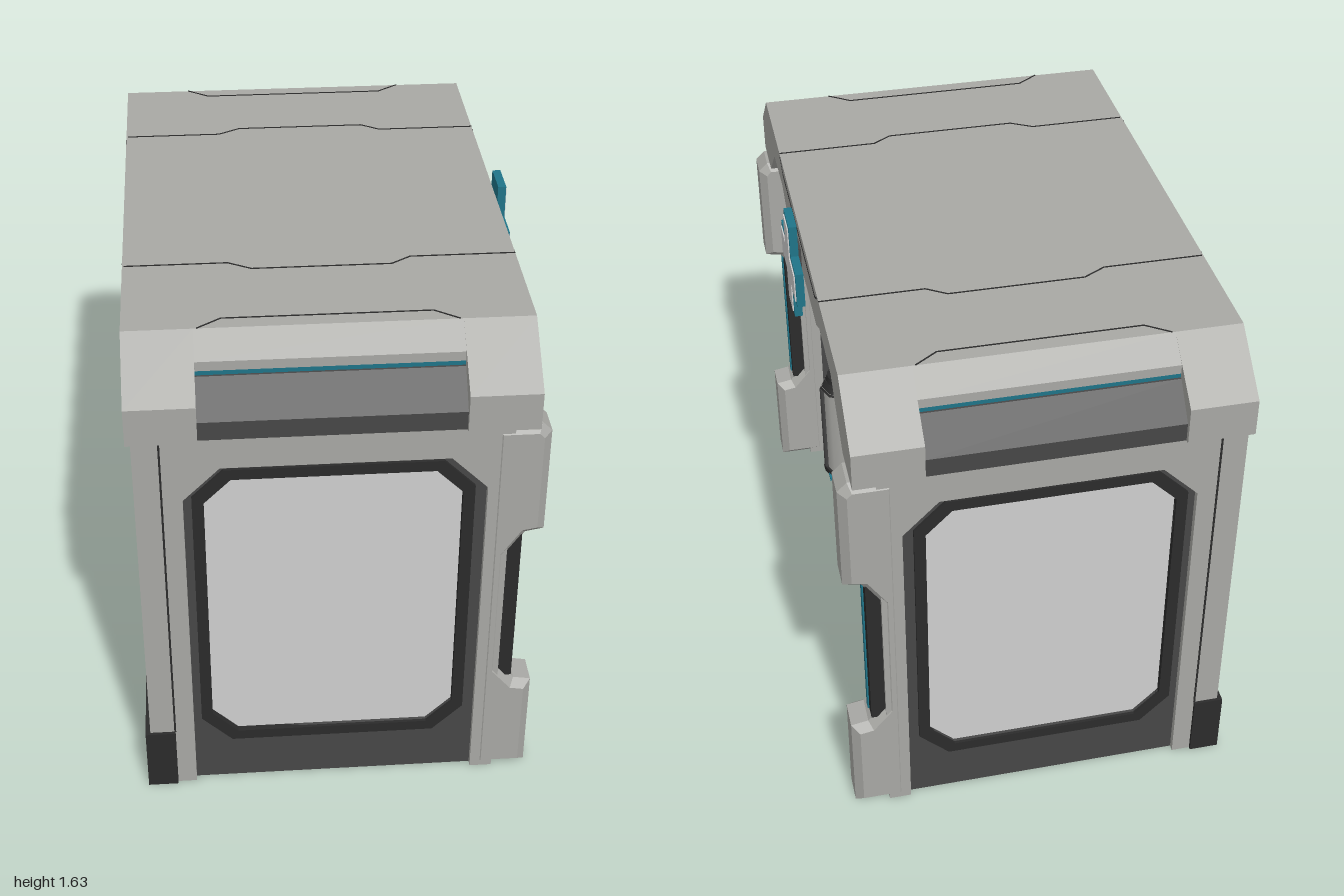
import * as THREE from 'three';

const mat = (name, color, side = THREE.FrontSide) => {
  const m = new THREE.MeshStandardMaterial({ color, side });
  m.name = name;
  return m;
};

export function createModel() {
  const root = new THREE.Group();
  root.name = 'kiosk';
  const light = mat('light grey shell', 0xa8a8a4);
  const pale = mat('pale panel', 0xcfcfcf);
  const dark = mat('dark grey', 0x474747);
  const black = mat('near black', 0x2b2b2b);
  const teal = mat('teal trim', 0x1f7488);
  const screenMat = mat('screen teal', 0x389c9b);

  const add = (name, geo, m) => {
    const mesh = new THREE.Mesh(geo, m);
    mesh.name = name;
    root.add(mesh);
    return mesh;
  };
  // Box from its limits on each axis
  const box = (name, m, x0, x1, y0, y1, z0, z1) => {
    const g = new THREE.BoxGeometry(Math.abs(x1 - x0), Math.abs(y1 - y0), Math.abs(z1 - z0));
    g.translate((x0 + x1) / 2, (y0 + y1) / 2, (z0 + z1) / 2);
    return add(name, g, m);
  };
  const toShape = (pts, hole) => {
    const s = new THREE.Shape(pts.map(p => new THREE.Vector2(...p)));
    if (hole) s.holes.push(new THREE.Path(hole.map(p => new THREE.Vector2(...p))));
    return s;
  };
  // Outline in x,y pushed along z
  const slabZ = (name, m, pts, za, zb, hole, bevel = 0) => {
    const z0 = Math.min(za, zb), z1 = Math.max(za, zb);
    const g = new THREE.ExtrudeGeometry(toShape(pts, hole), {
      depth: z1 - z0 - 2 * bevel, bevelEnabled: bevel > 0, bevelThickness: bevel,
      bevelSize: bevel, bevelOffset: -bevel, bevelSegments: 1,
    });
    g.translate(0, 0, z0 + bevel);
    return add(name, g, m);
  };
  // Outline in z,y pushed along x
  const slabX = (name, m, pts, x0, x1, hole) => {
    const g = new THREE.ExtrudeGeometry(toShape(pts, hole), { depth: x1 - x0, bevelEnabled: false });
    g.rotateY(-Math.PI / 2);
    g.translate(x1, 0, 0);
    return add(name, g, m);
  };
  const cyl = (name, m, r0, r1, x, y0, y1, z, sides = 16) => {
    const g = new THREE.CylinderGeometry(r1, r0, y1 - y0, sides);
    g.translate(x, (y0 + y1) / 2, z);
    return add(name, g, m);
  };
  const oct = (a0, a1, b0, b1, c) => [[a0 + c, b0], [a1 - c, b0], [a1, b0 + c], [a1, b1 - c],
    [a1 - c, b1], [a0 + c, b1], [a0, b1 - c], [a0, b0 + c]];
  const mirror = half => [...half, ...half.map(([z, y]) => [-z, y]).reverse()];

  // Roof: end blocks with full bevel, middle with a recess at each end
  const under = [[0.83, 1.34], [0.65, 1.49], [0.43, 1.5], [0.35, 1.46]];
  const full = mirror([...under].reverse().concat([[1, 1.34], [1, 1.46], [0.82, 1.61]]));
  const recessed = mirror([...under].reverse().concat(
    [[0.84, 1.34], [0.84, 1.515], [0.895, 1.515], [0.895, 1.545], [0.82, 1.61]]));
  slabX('roofBackBlock', light, full, -0.615, -0.41);
  slabX('roofFrontBlock', light, full, 0.36, 0.57);
  slabX('roofMiddle', light, recessed, -0.41, 0.36);
  box('ceiling', dark, -0.6, 0.5, 1.38, 1.53, -0.84, 0.84);
  box('rearLintelCentre', light, -0.612, -0.58, 1.34, 1.48, -0.25, 0.25);
  for (const s of [1, -1]) {
    slabX('roofEndRecess', dark,
      [[0.83, 1.34], [0.985, 1.34], [0.985, 1.4], [0.9, 1.5], [0.83, 1.5]].map(([z, y]) => [s * z, y]), -0.41, 0.36);
    box('roofEndLightStrip', teal, -0.41, 0.36, 1.5, 1.515, s * 0.83, s * 0.893);
    box('lintelLightStrip', teal, 0.5, 0.54, 1.475, 1.492, s * 0.44, s * 0.64);
    box('lintelShortStrip', teal, 0.5, 0.53, 1.44, 1.455, s * 0.2, s * 0.37);
  }

  // Roof seams as thin strips
  const seam = (pts, place) => {
    for (let i = 0; i + 1 < pts.length; i++) {
      const [a, b] = [place(...pts[i]), place(...pts[i + 1])];
      const mesh = add('seam', new THREE.BoxGeometry(0.004, 0.004, a.distanceTo(b)), black);
      mesh.position.copy(a).add(b).multiplyScalar(0.5);
      mesh.lookAt(b);
    }
  };
  for (const s of [1, -1]) {
    const top = (x, z) => new THREE.Vector3(x, 1.61, s * z);
    seam([[-0.4, 0.82], [-0.33, 0.77], [0.28, 0.77], [0.35, 0.82]], top);
    seam([[-0.61, 0.45], [-0.3, 0.45], [-0.23, 0.49], [0.19, 0.49], [0.25, 0.45], [0.57, 0.45]], top);
  }
  for (const x of [-0.615, 0.57]) {
    seam([[0.43, 1.608], [0.37, 1.575], [-0.37, 1.575], [-0.43, 1.608]], (z, y) => new THREE.Vector3(x, y, z));
  }

  // End walls with octagonal windows
  const arch = [[-0.46, 0], [-0.46, 1.13], [-0.35, 1.24], [0.32, 1.24], [0.43, 1.13], [0.43, 0]];
  const frame = [[-0.6, 0], ...arch, [0.5, 0], [0.5, 1.34], [-0.6, 1.34]];
  const pillar = [[0.44, 0], [0.61, 0], [0.61, 0.35], [0.555, 0.36], [0.505, 0.42], [0.505, 0.87],
    [0.555, 0.945], [0.61, 0.955], [0.61, 1.31], [0.58, 1.34], [0.44, 1.34]];
  const pane = oct(-0.4, 0.36, 0.2, 1.19, 0.08);
  for (const s of [1, -1]) {
    slabZ('endWallFrame', light, frame, s * 0.85, s * 0.985);
    slabZ('frontPillar', light, pillar, s * 0.848, s * 0.988, null, 0.025);
    slabZ('endWallPanel', dark, arch, s * 0.87, s * 0.965, pane);
    slabZ('windowRim', black, oct(-0.435, 0.395, 0.165, 1.225, 0.095), s * 0.86, s * 0.975, pane);
    slabZ('window', pale, pane, s * 0.88, s * 0.955);
    box('pillarInsert', black, 0.49, 0.545, 0.38, 0.94, s * 0.865, s * 0.972);
    box('pillarLight', teal, 0.54, 0.55, 0.38, 0.95, s * 0.905, s * 0.93);
    box('upperLiner', dark, -0.56, 0.5, 1.25, 1.4, s * 0.83, s * 0.852);
    box('wallGroove', black, -0.524, -0.518, 0.22, 1.34, s * 0.98, s * 0.987);
  }

  // Rear wall and skirting
  box('rearWall', light, -0.6, -0.56, 0, 1.35, -0.985, 0.985);
  box('rearLiner', dark, -0.565, -0.53, 0.01, 1.4, -0.85, 0.85);
  slabX('rearPanelOutline', black, oct(-0.83, 0.83, 0.27, 1.27, 0.08), -0.603, -0.597, oct(-0.82, 0.82, 0.28, 1.26, 0.077));
  slabX('linerOutline', black, oct(-0.83, 0.83, 0.1, 1.29, 0.08), -0.534, -0.527, oct(-0.822, 0.822, 0.108, 1.282, 0.078));
  box('skirting', black, -0.615, -0.52, 0, 0.22, -0.995, 0.995);

  // Wall screens: z limits, y limits
  for (const [z0, z1, y0, y1] of [[0.43, 0.77, 0.9, 1.09], [-0.01, 0.5, 0.58, 0.84],
    [-0.31, -0.12, 0.83, 1.08], [-0.83, -0.49, 0.75, 0.92]]) {
    box('screen', screenMat, -0.53, -0.522, y0, y1, z0, z1);
  }

  // Counter
  box('counterSlab', dark, -0.55, 0.14, 0.44, 0.525, -0.45, 0.82);
  box('counterTop', light, -0.53, 0.155, 0.49, 0.532, -0.37, 0.77);
  box('counterShelf', black, -0.55, -0.08, 0.01, 0.03, -0.45, 0.82);
  for (const z of [-0.45, 0.8]) {
    slabZ('counterSide', dark, [[-0.55, 0.01], [-0.08, 0.01], [0.12, 0.3], [0.12, 0.45], [-0.55, 0.45]], z, z + 0.02);
  }
  box('counterExtension', dark, -0.55, -0.2, 0, 0.32, -0.57, -0.45);

  // Things on the counter: x, z, radius, height
  for (const [x, z, r, h] of [[-0.1, 0.61, 0.036, 0.16], [-0.02, 0.65, 0.032, 0.08], [-0.15, 0.55, 0.03, 0.1],
    [0.04, 0.45, 0.02, 0.08], [0.02, 0.1, 0.022, 0.04], [-0.1, -0.02, 0.02, 0.09],
    [-0.05, -0.06, 0.022, 0.08], [-0.1, -0.2, 0.03, 0.09]]) {
    cyl('container', light, r, r, x, 0.53, 0.53 + h, z);
    cyl('containerLid', pale, r * 1.06, r * 1.06, x, 0.52 + h, 0.535 + h, z);
  }
  box('tray', black, -0.2, 0.1, 0.53, 0.542, -0.3, -0.1);
  box('trayTool', light, -0.02, 0.06, 0.54, 0.56, -0.22, -0.12);

  // Cabinet and bags below the counter
  slabX('cabinet', light, oct(-0.37, -0.13, 0.04, 0.325, 0.02), -0.3, -0.01);
  slabX('cabinetWindow', black, oct(-0.31, -0.155, 0.165, 0.28, 0.015), -0.012, -0.004);
  slabX('cabinetHandle', dark, oct(-0.36, -0.31, 0.14, 0.28, 0.02), -0.012, 0.01);
  box('cabinetGrip', black, -0.2, -0.08, 0.32, 0.34, -0.28, -0.22);
  for (const [z0, z1] of [[0.44, 0.6], [0.3, 0.41]]) {
    slabX('bag', black, oct(z0, z1, 0.03, 0.175, 0.025), -0.35, -0.12);
  }

  // Waste bin
  cyl('binBody', light, 0.085, 0.085, 0.37, 0.03, 0.43, 0.71, 8);
  cyl('binFoot', black, 0.09, 0.095, 0.37, 0.01, 0.04, 0.71, 8);
  cyl('binCollar', black, 0.09, 0.07, 0.37, 0.42, 0.455, 0.71, 8);
  cyl('binLid', black, 0.065, 0.06, 0.37, 0.455, 0.48, 0.71);
  for (let i = 0; i < 4; i++) {
    const a = i * Math.PI / 2;
    cyl('binRib', dark, 0.02, 0.02, 0.37 + 0.072 * Math.cos(a), 0.04, 0.42, 0.71 + 0.072 * Math.sin(a), 8);
  }
  box('binLight', teal, 0.4, 0.45, 0.01, 0.022, 0.64, 0.79);

  // Dispenser
  box('dispenserBase', black, -0.45, -0.02, 0, 0.03, -0.83, -0.51);
  box('dispenserLower', dark, -0.45, -0.1, 0.03, 0.28, -0.8, -0.54);
  box('dispenserBody', dark, -0.45, -0.14, 0.28, 0.57, -0.77, -0.57);
  box('dispenserBack', black, -0.45, -0.3, 0.28, 0.71, -0.79, -0.55);
  slabX('dispenserHead', light, oct(-0.765, -0.575, 0.57, 0.7, 0.02), -0.3, -0.08);
  cyl('dispenserRing', dark, 0.07, 0.06, -0.18, 0.69, 0.71, -0.67);
  const dome = add('dispenserDome', new THREE.SphereGeometry(0.05, 20, 8, 0, Math.PI * 2, 0, Math.PI / 2), teal);
  dome.position.set(-0.18, 0.7, -0.67);
  cyl('dispenserTip', teal, 0.014, 0.004, -0.18, 0.74, 0.775, -0.67, 8);
  slabX('dispenserValve', light, oct(-0.73, -0.605, 0.05, 0.24, 0.035), -0.1, -0.05);
  const knob = add('dispenserKnob', new THREE.CylinderGeometry(0.042, 0.042, 0.04, 20).rotateZ(Math.PI / 2), black);
  knob.position.set(-0.04, 0.14, -0.67);

  // Ceiling fixture
  box('ceilingPlate', black, -0.25, 0.05, 1.372, 1.385, 0.12, 0.4);
  cyl('ceilingStem', dark, 0.03, 0.04, -0.13, 1.34, 1.375, 0.25);
  cyl('ceilingLamp', teal, 0.015, 0.035, -0.13, 1.3, 1.34, 0.25);

  // Cross sign
  const cross = (r, w) => [[-w, -r], [w, -r], [w, -w], [r, -w], [r, w], [w, w], [w, r], [-w, r],
    [-w, w], [-r, w], [-r, -w], [-w, -w]].map(([z, y]) => [z, y + 1.467]);
  slabX('crossSign', teal, cross(0.167, 0.06), 0.58, 0.606);
  slabX('crossFace', pale, cross(0.154, 0.047), 0.604, 0.61);
  box('crossMount', dark, 0.56, 0.585, 1.47, 1.54, -0.04, 0.04);
  for (const s of [1, -1]) box('crossBracket', light, 0.47, 0.5, 1.375, 1.4, s * 0.06, s * 0.115);

  return root;
}
